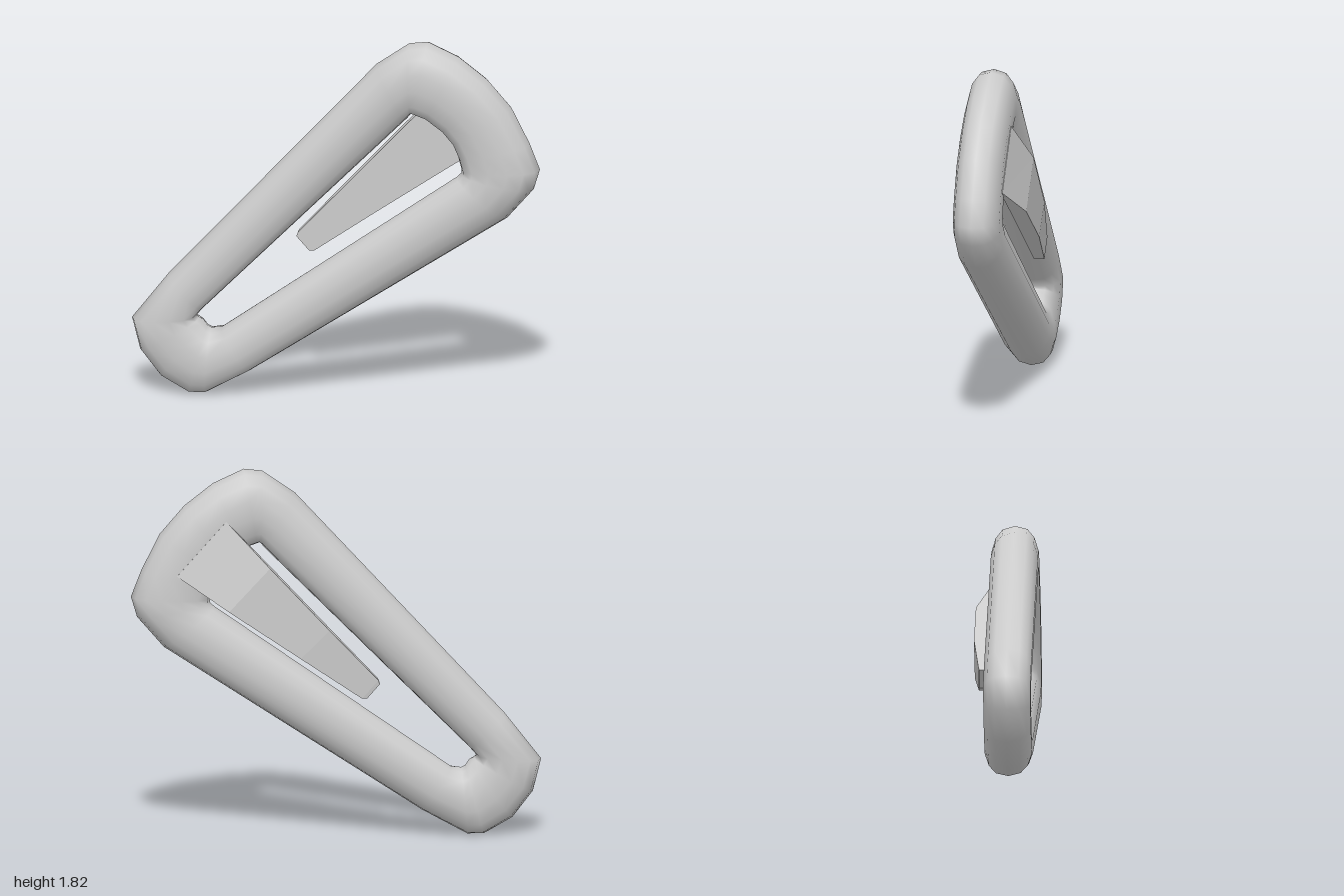
import * as THREE from 'three';

const material = new THREE.MeshStandardMaterial({ color: 0xcccccc });

// Skin a list of equal-length closed rings; either join last to first or cap the ends.
function loft(rings, closed) {
  const n = rings.length, m = rings[0].length, index = [];
  for (let i = 0; i < (closed ? n : n - 1); i++) {
    for (let j = 0; j < m; j++) {
      const k = (j + 1) % m, next = (i + 1) % n;
      const a = i * m + j, b = i * m + k, c = next * m + k, d = next * m + j;
      index.push(a, b, d, b, c, d);
    }
  }
  if (!closed) {
    const e = (n - 1) * m;
    for (let j = 1; j < m - 1; j++) index.push(0, j + 1, j, e, e + j, e + j + 1);
  }
  const g = new THREE.BufferGeometry();
  g.setAttribute('position', new THREE.Float32BufferAttribute(rings.flat(2), 3));
  g.setIndex(index);
  return g;
}

// Triangular ring: each station is [outer x, outer y, inner x, inner y], clockwise
const stations = [
  [-1.0, 0.38, -0.685, 0.4], [-0.82, 0.61, -0.65, 0.44],
  [0.2, 1.71, 0.35, 1.44], [0.36, 1.82, 0.37, 1.465],
  [0.45, 1.83, 0.385, 1.46], [0.6, 1.76, 0.44, 1.44],
  [0.74, 1.65, 0.52, 1.38], [0.86, 1.51, 0.57, 1.32],
  [0.95, 1.33, 0.6, 1.25], [1.0, 1.2, 0.615, 1.19],
  [0.97, 1.1, 0.615, 1.17], [0.84, 0.95, 0.595, 1.15],
  [-0.42, 0.13, -0.56, 0.345], [-0.64, 0.01, -0.61, 0.34],
  [-0.72, 0.01, -0.63, 0.35], [-0.86, 0.09, -0.65, 0.38],
  [-0.96, 0.22, -0.67, 0.39],
];

// Half section: [fraction from outer to inner edge, half thickness]
const half = [[0, 0], [0.05, 0.06], [0.18, 0.095], [0.38, 0.115], [0.62, 0.115], [0.84, 0.095], [0.96, 0.06], [1, 0]];
const section = [...half, ...half.slice(1, -1).reverse().map(([t, z]) => [t, -z])];

function createFrame() {
  const rings = stations.map(([ox, oy, ix, iy]) => section.map(([t, z]) =>
    [ox + (ix - ox) * t, oy + (iy - oy) * t, 0.035 + z]));
  const g = loft(rings, true);
  g.computeVertexNormals();
  const mesh = new THREE.Mesh(g, material);
  mesh.name = 'frame';
  return mesh;
}

// Wedge-shaped tongue on the back: [upper x, upper y, lower x, lower y, back z]
function createTongue() {
  const front = -0.073;
  const rings = [
    [-0.207, 0.785, -0.145, 0.715, -0.122],
    [-0.2, 0.805, -0.12, 0.715, -0.126],
    [0.04, 1.06, 0.18, 0.92, -0.155],
    [0.33, 1.37, 0.53, 1.155, -0.155],
    [0.54, 1.59, 0.78, 1.32, -0.082],
  ].map(([ux, uy, lx, ly, z]) => [[ux, uy, front], [lx, ly, front], [lx, ly, z], [ux, uy, z]]);
  const g = loft(rings, false).toNonIndexed();
  g.computeVertexNormals();
  const mesh = new THREE.Mesh(g, material);
  mesh.name = 'tongue';
  return mesh;
}

export function createModel() {
  const group = new THREE.Group();
  group.name = 'clip';
  group.add(createFrame(), createTongue());
  return group;
}
